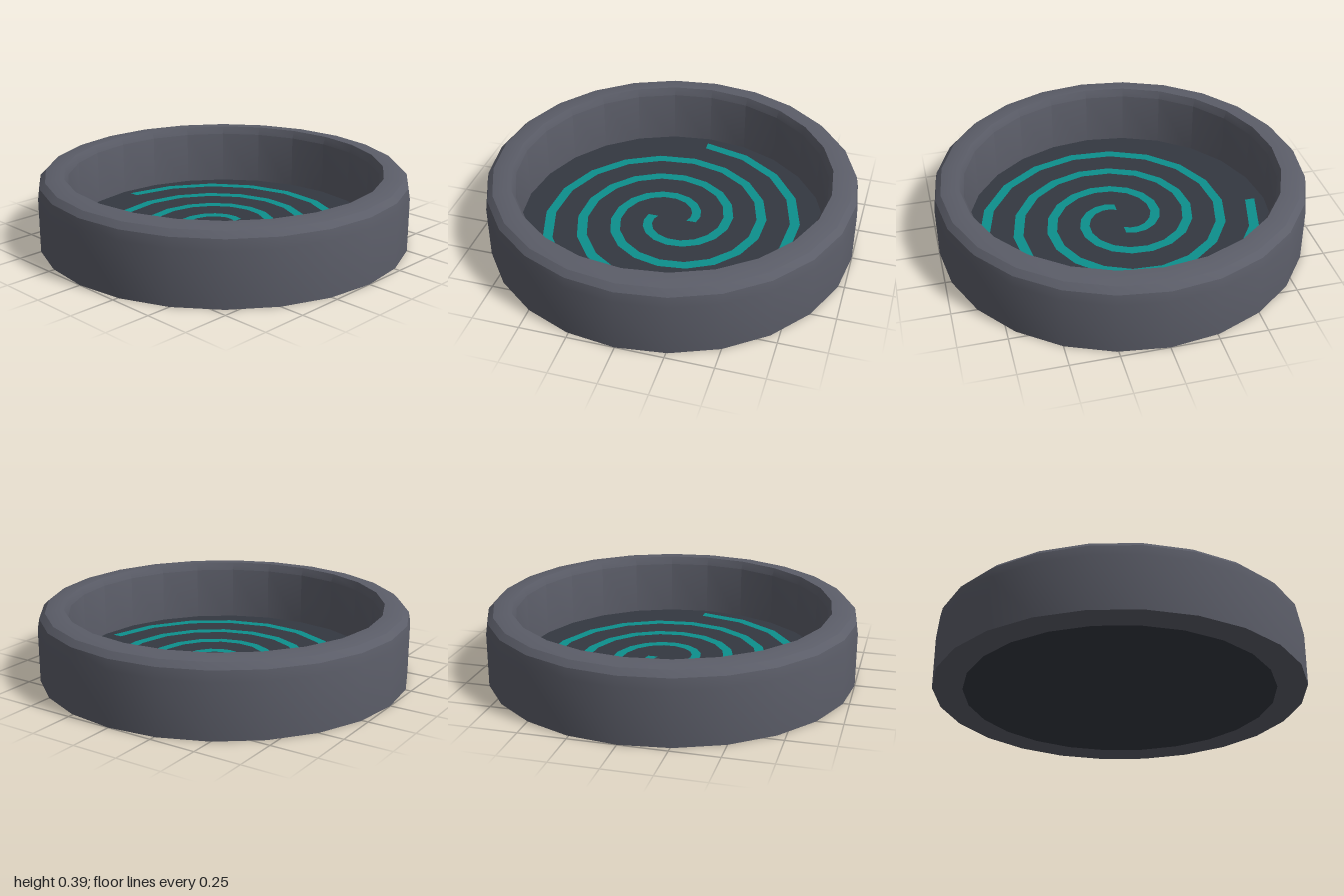
import * as THREE from 'three';
import { toCreasedNormals } from 'three/addons/utils/BufferGeometryUtils.js';

const SIDES = 24;
const FLOOR_TOP = 0.05;

function addPart(group, name, geometry, color, side = THREE.FrontSide) {
  const mesh = new THREE.Mesh(geometry, new THREE.MeshStandardMaterial({ color, side }));
  mesh.name = name;
  group.add(mesh);
  return mesh;
}

// Flat ribbon following an even spiral, 1.75 turns from the middle outwards
function spiralGeometry() {
  const steps = 32, turn = Math.PI * 3.5, halfWidth = 0.0275;
  const positions = [], indices = [];
  for (let i = 0; i <= steps; i++) {
    const t = i / steps;
    const angle = t * turn;
    const radius = THREE.MathUtils.lerp(0.108, 0.757, t);
    for (const r of [radius - halfWidth, radius + halfWidth]) {
      positions.push(r * Math.cos(angle), 0, -r * Math.sin(angle));
    }
    if (i < steps) {
      const a = i * 2;
      indices.push(a, a + 1, a + 3, a, a + 3, a + 2);
    }
  }
  const geometry = new THREE.BufferGeometry();
  geometry.setAttribute('position', new THREE.Float32BufferAttribute(positions, 3));
  geometry.setIndex(indices);
  geometry.computeVertexNormals();
  return geometry;
}

export function createModel() {
  const model = new THREE.Group();
  model.name = 'spiralDish';

  // Wall with rounded outer shoulder and a small inner bevel
  const profile = [
    [0.84, 0], [1, 0], [1, 0.29], [0.99, 0.345], [0.96, 0.375],
    [0.91, 0.387], [0.86, 0.387], [0.84, 0.345], [0.84, 0],
  ].map(([x, y]) => new THREE.Vector2(x, y));
  const wall = toCreasedNormals(new THREE.LatheGeometry(profile, SIDES), 0.5);
  addPart(model, 'wall', wall, 0x5b5d68);

  // Floor disc
  const floor = new THREE.CylinderGeometry(0.84, 0.84, FLOOR_TOP, SIDES);
  addPart(model, 'floor', floor, 0x343841).position.y = FLOOR_TOP / 2;

  // Two interleaved spiral arms, half a turn apart
  const arm = spiralGeometry();
  ['spiralArmA', 'spiralArmB'].forEach((name, i) => {
    const mesh = addPart(model, name, arm, 0x0d8f8c, THREE.DoubleSide);
    mesh.position.y = FLOOR_TOP + 0.005;
    mesh.rotation.y = i * Math.PI;
  });

  return model;
}
